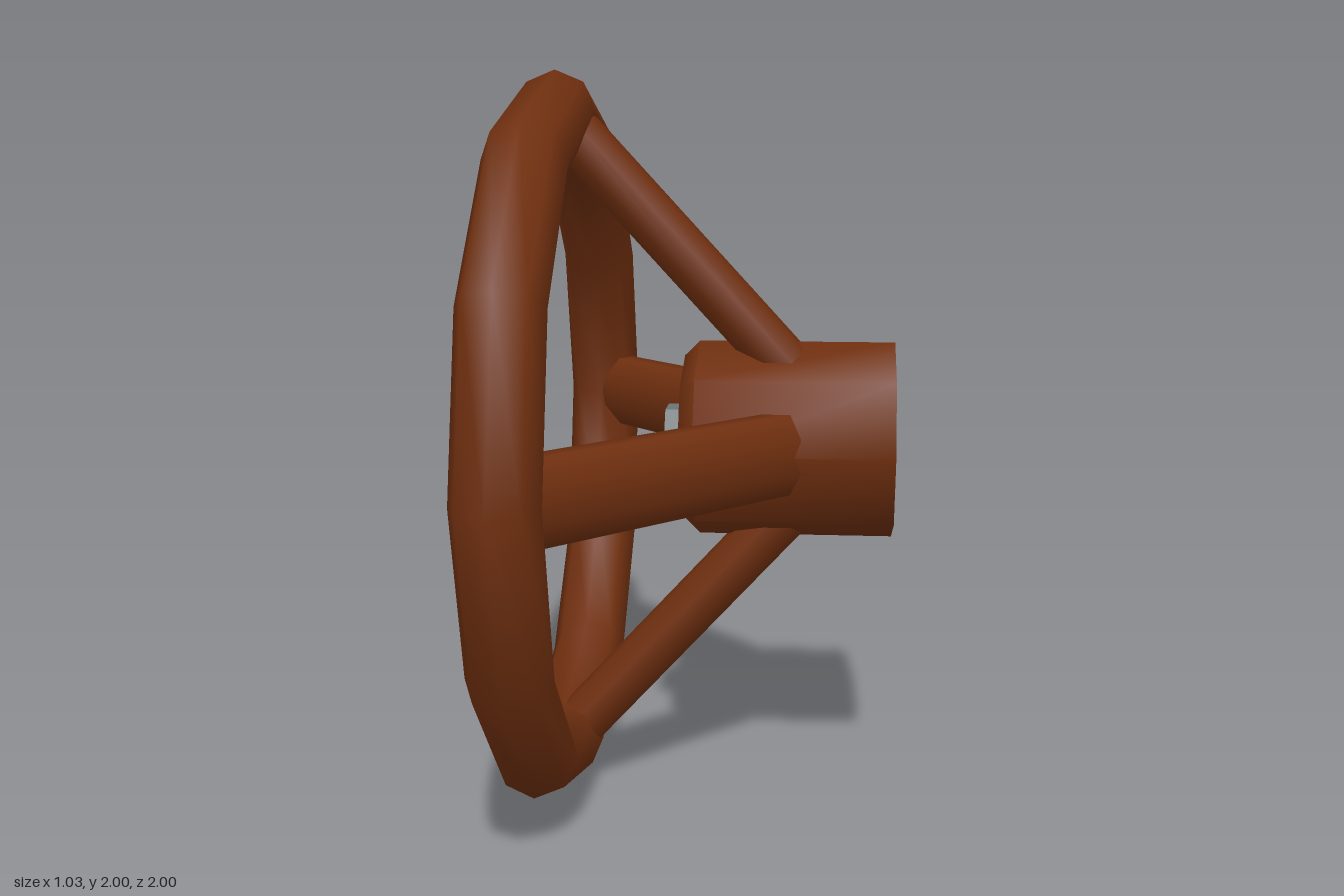
import * as THREE from 'three';
import { toCreasedNormals } from 'three/addons/utils/BufferGeometryUtils.js';

export function createModel() {
  const model = new THREE.Group();
  model.name = 'handwheel';
  const paint = new THREE.MeshStandardMaterial({ color: 0x6f2f0f });
  paint.name = 'rust brown';
  const steel = new THREE.MeshStandardMaterial({ color: 0x6b7375 });
  steel.name = 'steel grey';

  const add = (name, geometry, material, parent) => {
    const mesh = new THREE.Mesh(geometry, material);
    mesh.name = name;
    parent.add(mesh);
    return mesh;
  };

  // The wheel turns about the x axis, one unit above the ground
  const wheel = new THREE.Group();
  wheel.name = 'wheel';
  wheel.position.y = 1;
  model.add(wheel);

  // Twelve-sided rim
  const rim = new THREE.TorusGeometry(0.891, 0.109, 8, 12);
  rim.rotateY(Math.PI / 2);
  rim.translate(-0.41, 0, 0);
  add('rim', rim, paint, wheel);

  // Octagonal hub with a chamfered back edge and a shallow bolt seat
  const profile = [
    [0, -0.03], [0.15, -0.03], [0.15, -0.06], [0.23, -0.06],
    [0.272, -0.018], [0.272, 0.515], [0, 0.515],
  ].map(([r, h]) => new THREE.Vector2(r, h));
  const hub = new THREE.LatheGeometry(profile, 8);
  hub.rotateZ(-Math.PI / 2);
  add('hub', toCreasedNormals(hub, 0.83), paint, wheel);

  // Four flattened spokes slanting from the rim to the hub
  const start = new THREE.Vector3(-0.39, 0.868, 0);
  const end = new THREE.Vector3(0.22, 0.205, 0);
  const along = end.clone().sub(start);
  for (let i = 0; i < 4; i++) {
    const spoke = new THREE.CylinderGeometry(1, 1, along.length(), 8);
    spoke.rotateY(Math.PI / 8);
    spoke.scale(0.074, 1, 0.117);
    spoke.rotateZ(Math.atan2(-along.x, along.y));
    const mid = start.clone().add(end).multiplyScalar(0.5);
    spoke.translate(mid.x, mid.y, 0);
    spoke.rotateX(i * Math.PI / 2);
    add('spoke' + (i + 1), spoke, paint, wheel);
  }

  // Washer and hexagonal bolt head on the back of the hub
  const disc = (name, radius, sides, x0, x1) => {
    const g = new THREE.CylinderGeometry(radius, radius, x1 - x0, sides);
    g.rotateZ(Math.PI / 2);
    g.translate((x0 + x1) / 2, 0, 0);
    add(name, toCreasedNormals(g, 0.7), steel, wheel);
  };
  disc('washer', 0.115, 16, -0.065, 0);
  disc('boltHead', 0.1, 6, -0.11, -0.06);

  return model;
}
